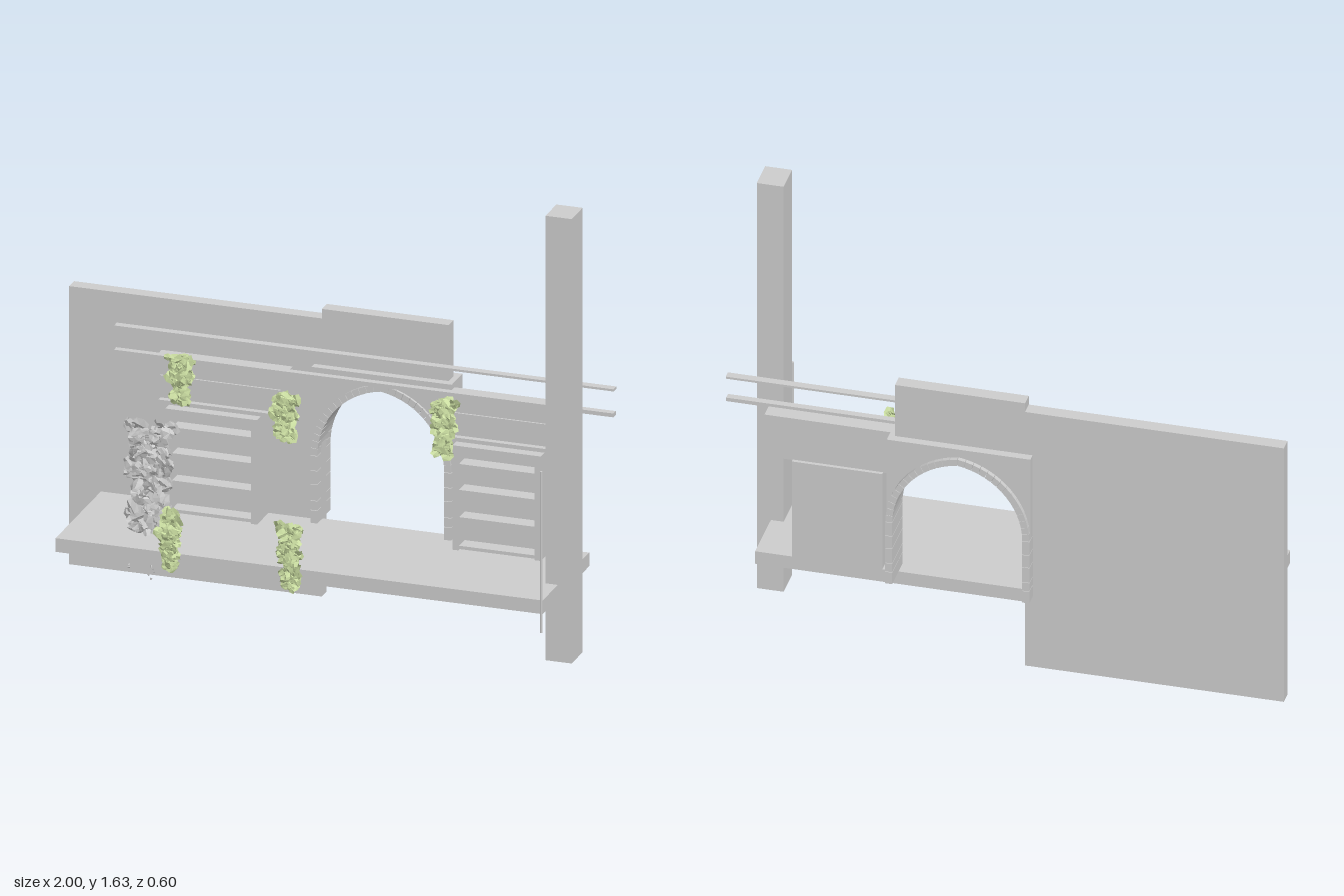
import * as THREE from 'three';
import { mergeGeometries } from 'three/addons/utils/BufferGeometryUtils.js';

export function createModel() {
  const root = new THREE.Group();
  root.name = 'arcadeFacade';
  const stone = new THREE.MeshStandardMaterial({ color: 0xcccccc });
  stone.name = 'pale grey';
  const dryLeaf = new THREE.MeshStandardMaterial({ color: 0xcccccc, side: THREE.DoubleSide });
  dryLeaf.name = 'grey foliage';
  const leaf = new THREE.MeshStandardMaterial({ color: 0xcbdea2, side: THREE.DoubleSide });
  leaf.name = 'light green';

  // Box given by its limits on each axis
  function box(name, x0, x1, y0, y1, z0, z1, parent = root) {
    const m = new THREE.Mesh(new THREE.BoxGeometry(x1 - x0, y1 - y0, z1 - z0), stone);
    m.position.set((x0 + x1) / 2, (y0 + y1) / 2, (z0 + z1) / 2);
    m.name = name;
    parent.add(m);
    return m;
  }
  function extrude(name, shape, z0, z1, parent = root) {
    const g = new THREE.ExtrudeGeometry(shape, { depth: z1 - z0, bevelEnabled: false });
    const m = new THREE.Mesh(g, stone);
    m.position.z = z0;
    m.name = name;
    parent.add(m);
    return m;
  }
  function group(name) {
    const g = new THREE.Group();
    g.name = name;
    root.add(g);
    return g;
  }

  // Main slabs
  box('platform', -0.885, 0.88, 0.232, 0.282, -0.217, 0.262);
  box('pillar', 0.835, 0.93, 0, 1.63, -0.007, 0.106);
  const wall = new THREE.Shape([
    [-1, 0], [-0.085, 0], [-0.085, 0.83], [0.375, 0.83], [0.375, 1.055],
    [-0.085, 1.055], [-0.085, 1.02], [-1, 1.02],
  ].map(([x, y]) => new THREE.Vector2(x, y)));
  extrude('backWall', wall, -0.255, -0.205);

  // Pointed arch: points on one half, from the springing to the apex
  const CX = 0.1425, SPRING = 0.53, OFFSET = 0.038, FLOOR = 0.282;
  function archPoint(w, t, side) {
    const r = w + OFFSET;
    const a = t * Math.acos(OFFSET / r);
    return new THREE.Vector2(CX + side * (r * Math.cos(a) - OFFSET), SPRING + r * Math.sin(a));
  }

  // Wall panel around the arch
  const N = 15, IN = 0.23, OUT = 0.254, MID = 0.238;
  const outline = [[CX - OUT, FLOOR], [CX - OUT, 0.85], [CX + OUT, 0.85], [CX + OUT, FLOOR], [CX + MID, FLOOR]]
    .map(([x, y]) => new THREE.Vector2(x, y));
  for (let i = 0; i <= N; i++) outline.push(archPoint(MID, i / N, 1));
  for (let i = N - 1; i >= 0; i--) outline.push(archPoint(MID, i / N, -1));
  outline.push(new THREE.Vector2(CX - MID, FLOOR));
  extrude('archPanel', new THREE.Shape(outline), -0.285, -0.175);

  // Arch stones: jamb blocks, then wedges up to the apex
  const arch = group('archStones');
  for (const side of [-1, 1]) {
    const joints = [FLOOR, 0.33, 0.365, 0.425, 0.475, SPRING];
    for (let i = 0; i < joints.length - 1; i++) {
      const a = CX + side * IN, b = CX + side * (OUT + 0.001);
      box('jambStone', Math.min(a, b), Math.max(a, b), joints[i], joints[i + 1] - 0.002, -0.302, -0.165, arch);
    }
    for (let i = 0; i < N; i++) {
      const t0 = i / N, t1 = (i + 0.95) / N;
      const wedge = new THREE.Shape([
        archPoint(IN, t0, side), archPoint(OUT, t0, side), archPoint(OUT, t1, side), archPoint(IN, t1, side),
      ]);
      extrude('archStone', wedge, -0.302, -0.165, arch);
    }
  }

  // Open shelf cabinets either side of the arch
  function cabinet(name, x0, x1) {
    const g = group(name);
    const front = -0.087, top = 0.665, t = 0.022;
    box('cabinetBack', x0, x1, FLOOR, top, -0.218, -0.15, g);
    box('cabinetSide', x0, x0 + t, FLOOR, top, -0.15, front, g);
    box('cabinetSide', x1 - t, x1, FLOOR, top, -0.15, front, g);
    box('cabinetTop', x0 + t, x1 - t, top - 0.015, top, -0.15, front, g);
    for (const y of [0.285, 0.39, 0.49, 0.585]) {
      box('shelf', x0 + t, x1 - t, y, y + 0.012, -0.15, front - 0.006, g);
    }
  }
  cabinet('leftCabinet', -0.61, -0.278);
  cabinet('rightCabinet', 0.43, 0.75);

  // Framed fascia boards above the cabinets
  function fascia(name, x0, x1) {
    const g = group(name);
    const y0 = 0.663, y1 = 0.83, t = 0.016;
    box('fasciaBoard', x0, x1, y0, y1, -0.205, -0.147, g);
    box('fasciaRail', x0, x1, y0, y0 + t, -0.147, -0.125, g);
    box('fasciaRail', x0, x1, y1 - t, y1, -0.147, -0.125, g);
    box('fasciaEnd', x0, x0 + t, y0 + t, y1 - t, -0.147, -0.125, g);
    box('fasciaEnd', x1 - t, x1, y0 + t, y1 - t, -0.147, -0.125, g);
    box('fasciaStrip', x0 + t, x1 - t, 0.755, 0.763, -0.147, -0.14, g);
  }
  fascia('leftFascia', -0.665, -0.19);
  fascia('rightFascia', 0.396, 0.85);

  // Long rails and the thin front pole
  box('upperRail', -0.81, 1, 0.921, 0.929, -0.156, -0.127);
  box('lowerRail', -0.81, 1, 0.827, 0.841, -0.15, -0.125);
  const pole = new THREE.Mesh(new THREE.CylinderGeometry(0.005, 0.005, 0.59, 8), stone);
  pole.position.set(0.876, 0.46, 0.265);
  pole.name = 'frontPole';
  root.add(pole);

  // Foliage: folded leaves scattered over a tapering patch
  let seed = 7;
  const rnd = () => (seed = (seed * 16807) % 2147483647) / 2147483647;
  function foliage(name, material, cx, y0, y1, z, width, depth, count, size, taper) {
    const leaves = [];
    for (let i = 0; i < count; i++) {
      const s = size * (0.7 + 0.6 * rnd());
      const g = new THREE.PlaneGeometry(s, s * 1.1, 2, 2);
      const p = g.attributes.position;
      for (let k = 0; k < p.count; k++) {
        const x = p.getX(k), y = p.getY(k);
        p.setX(k, x * (1 - 0.7 * Math.abs(y) / s));
        p.setZ(k, -Math.abs(x) * 0.4);
      }
      const v = i / (count - 1);
      const w = width * (1 - taper * (1 - v)) * (0.86 + 0.14 * Math.sin(v * 14)) - size;
      g.rotateZ(rnd() * 6.28);
      g.rotateX((rnd() - 0.5) * 1.3);
      g.rotateY((rnd() - 0.5) * 1.3);
      g.translate(cx + (rnd() - 0.5) * w, y0 + size / 2 + v * (y1 - y0 - size), z + (rnd() - 0.5) * depth);
      leaves.push(g.toNonIndexed());
    }
    const geo = mergeGeometries(leaves);
    geo.computeVertexNormals();
    const m = new THREE.Mesh(geo, material);
    m.name = name;
    root.add(m);
  }
  foliage('ivyUpperLeft', leaf, -0.555, 0.68, 0.875, -0.078, 0.13, 0.016, 100, 0.032, 0.4);
  foliage('ivyUpperMiddle', leaf, -0.175, 0.6, 0.785, -0.078, 0.13, 0.016, 100, 0.032, 0.3);
  foliage('ivyUpperRight', leaf, 0.4, 0.61, 0.84, -0.078, 0.125, 0.016, 110, 0.032, 0.3);
  foliage('ivyLowerLeft', leaf, -0.467, 0.22, 0.455, 0.277, 0.125, 0.016, 110, 0.032, 0.35);
  foliage('ivyLowerMiddle', leaf, -0.032, 0.2, 0.455, 0.277, 0.125, 0.016, 110, 0.032, 0.35);
  foliage('hangingPlant', dryLeaf, -0.59, 0.28, 0.71, 0.132, 0.2, 0.024, 230, 0.038, 0.05);

  // Sparse trailing wisps under the hanging plant
  foliage('plantWispLeft', dryLeaf, -0.665, 0.15, 0.28, 0.13, 0.02, 0.01, 10, 0.008, 0);
  foliage('plantWispRight', dryLeaf, -0.585, 0.12, 0.28, 0.13, 0.03, 0.01, 14, 0.008, 0);

  return root;
}
